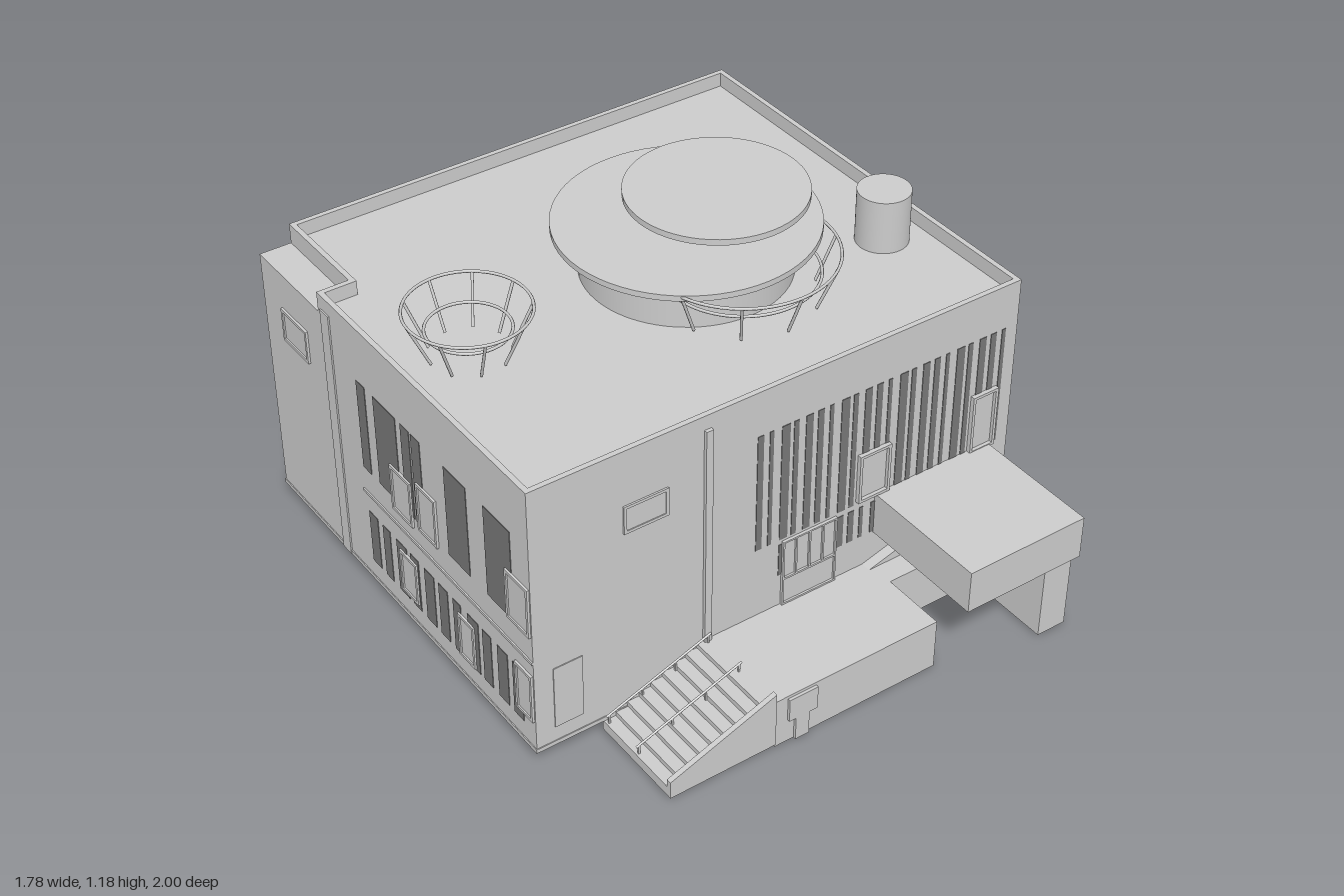
import * as THREE from 'three';

export function createModel() {
  const model = new THREE.Group();
  const grey = new THREE.MeshStandardMaterial({ color: 0xcccccc });
  const dark = new THREE.MeshStandardMaterial({ color: 0x777777 });

  const add = (name, geo, parent = model, mat = grey) => {
    const m = new THREE.Mesh(geo, mat);
    m.name = name;
    parent.add(m);
    return m;
  };
  // box given by its min and max corners
  const box = (name, x0, x1, y0, y1, z0, z1, parent = model, mat = grey) => {
    const m = add(name, new THREE.BoxGeometry(x1 - x0, y1 - y0, z1 - z0), parent, mat);
    m.position.set((x0 + x1) / 2, (y0 + y1) / 2, (z0 + z1) / 2);
    return m;
  };
  const disc = (name, x, z, r, y0, y1) => {
    const m = add(name, new THREE.CylinderGeometry(r, r, y1 - y0, 64));
    m.position.set(x, (y0 + y1) / 2, z);
  };
  const poly = (pts) => pts.map(([a, b]) => new THREE.Vector2(a, b));
  // plan outline (x, z) raised from y0 to y1
  const slab = (name, pts, y0, y1, hole) => {
    const flip = (p) => p.map(([x, z]) => [x, -z]);
    const s = new THREE.Shape(poly(flip(pts)));
    if (hole) s.holes.push(new THREE.Path(poly(flip(hole))));
    const g = new THREE.ExtrudeGeometry(s, { depth: y1 - y0, bevelEnabled: false });
    g.rotateX(-Math.PI / 2);
    add(name, g).position.y = y0;
  };
  // front elevation outline (x, y) extruded from z0 to z1
  const profile = (name, pts, z0, z1) => {
    const g = new THREE.ExtrudeGeometry(new THREE.Shape(poly(pts)), { depth: z1 - z0, bevelEnabled: false });
    add(name, g).position.z = z0;
  };

  // Main block with a lower back corner and a parapet
  const plan = (i) => [
    [-0.885 + i, 0.545 - i], [0.885 - i, 0.545 - i], [0.885 - i, -0.995 + i],
    [-0.775 + i, -0.995 + i], [-0.775 + i, -0.62 + i], [-0.885 + i, -0.62 + i],
  ];
  slab('mainBlock', plan(0), 0.05, 0.98);
  slab('parapet', plan(0), 0.98, 1.03, plan(0.018));
  box('lowCorner', -0.885, -0.775, 0.05, 0.96, -0.995, -0.62);
  box('baseBand', -0.888, 0.888, 0.05, 0.065, -0.998, 0.548);

  // Walls: local x runs along the wall, local z points outwards
  const wall = (name, x, z, angle) => {
    const g = new THREE.Group();
    g.name = name;
    g.position.set(x, 0, z);
    g.rotation.y = angle;
    model.add(g);
    return g;
  };
  const frontWall = wall('frontWall', 0, 0.545, 0);
  const backWall = wall('backWall', 0, -0.995, Math.PI);
  const sideWall = wall('sideWall', -0.885, 0, -Math.PI / 2);

  const pane = (parent, u0, u1, y0, y1) => box('glassStrip', u0, u1, y0, y1, 0, 0.002, parent, dark);
  const framed = (parent, u0, u1, y0, y1, depth = 0.008, t = 0.01) => {
    const s = new THREE.Shape(poly([[u0, y0], [u1, y0], [u1, y1], [u0, y1]]));
    s.holes.push(new THREE.Path(poly([[u0 + t, y0 + t], [u1 - t, y0 + t], [u1 - t, y1 - t], [u0 + t, y1 - t]])));
    add('windowFrame', new THREE.ExtrudeGeometry(s, { depth, bevelEnabled: false }), parent);
    box('windowPane', u0 + t, u1 - t, y0 + t, y1 - t, 0, 0.003, parent);
  };

  // Front wall: fin, windows, glass strips, entrance
  box('verticalFin', -0.29, -0.265, 0.18, 0.98, 0, 0.012, frontWall);
  framed(frontWall, -0.57, -0.415, 0.735, 0.835, 0.006);
  framed(frontWall, 0.28, 0.4, 0.45, 0.63, 0.015);
  framed(frontWall, 0.72, 0.82, 0.44, 0.66, 0.015);
  framed(frontWall, -0.82, -0.72, 0.12, 0.35, 0.003, 0.006);
  const widths = [0.022, 0.014, 0.03, 0.018, 0.026];
  for (let i = 0; i < 22; i++) {
    const x = -0.1 + i * 0.044;
    pane(frontWall, x, x + widths[i % 5], 0.44, 0.87);
    if (i > 1 && i < 12) pane(frontWall, x, x + widths[(i + 2) % 5], 0.3, 0.42);
  }
  framed(frontWall, 0, 0.205, 0.18, 0.43, 0.01, 0.006);
  box('doorRail', 0, 0.205, 0.28, 0.287, 0, 0.01, frontWall);
  for (let i = 1; i < 4; i++) box('doorMullion', i * 0.051 - 0.003, i * 0.051 + 0.003, 0.287, 0.425, 0, 0.01, frontWall);

  // Back windows
  for (const [u0, u1, y0, y1] of [
    [0.29, 0.37, 0.55, 0.75], [0.29, 0.365, 0.22, 0.39], [0.435, 0.51, 0.2, 0.37], [0.755, 0.825, 0.51, 0.72],
  ]) framed(backWall, u0, u1, y0, y1, 0.005);

  // Left-hand street wall: strips in two storeys, boxed windows, pilaster
  for (const [a, b] of [[-0.41, -0.36], [-0.31, -0.18], [-0.15, -0.1], [-0.09, -0.04], [0.095, 0.215], [0.31, 0.45]]) {
    pane(sideWall, a, b, 0.5, 0.83);
  }
  for (let i = 0; i < 11; i++) {
    const z = -0.4 + i * 0.083;
    pane(sideWall, z, z + 0.03 + widths[i % 5], 0.13, 0.33);
  }
  for (const [u0, u1, y0, y1] of [
    [-0.23, -0.11, 0.46, 0.63], [-0.075, 0.035, 0.48, 0.66], [0.42, 0.54, 0.5, 0.68],
    [-0.21, -0.11, 0.15, 0.31], [0.13, 0.22, 0.135, 0.3], [0.45, 0.54, 0.17, 0.35], [-0.87, -0.71, 0.71, 0.83],
  ]) framed(sideWall, u0, u1, y0, y1);
  box('pilaster', -0.6, -0.55, 0.05, 0.98, 0, 0.005, sideWall);
  box('storeyLedge', -0.42, 0.545, 0.4, 0.41, 0, 0.005, sideWall);

  // Roof discs and tank
  disc('roofDrum', 0.15, -0.165, 0.335, 0.98, 1.13);
  disc('lowerDisc', 0.15, -0.165, 0.417, 1.13, 1.15);
  disc('discHub', 0.295, -0.21, 0.1, 1.15, 1.162);
  disc('upperDisc', 0.295, -0.21, 0.292, 1.162, 1.183);
  disc('roofTank', 0.73, 0.07, 0.086, 0.98, 1.163);

  // Flared wire baskets: two rings and sloping struts
  const rod = (name, a, b, r, parent) =>
    add(name, new THREE.TubeGeometry(new THREE.LineCurve3(a, b), 1, r, 6), parent);
  const basket = (x, z, rTop, rLow, n, start, arc) => {
    const g = new THREE.Group();
    g.name = 'wireBasket';
    g.position.set(x, 0, z);
    model.add(g);
    for (const [r, y] of [[rTop, 1.143], [rLow, 1.076]]) {
      const t = new THREE.TorusGeometry(r, 0.005, 6, 64, arc);
      t.rotateX(Math.PI / 2);
      t.rotateY(-start);
      add('basketRing', t, g).position.y = y;
    }
    const at = (a, r, y) => new THREE.Vector3(r * Math.cos(a), y, r * Math.sin(a));
    for (let i = 0; i < n; i++) {
      const a = start + ((i + 0.5) / n) * arc;
      rod('basketStrut', at(a, rLow - 0.005, 0.99), at(a, rTop, 1.143), 0.005, g);
    }
  };
  basket(-0.64, -0.145, 0.193, 0.13, 9, 0.1, Math.PI * 2);
  basket(0.185, 0.07, 0.3, 0.243, 5, 0, Math.PI);

  // Entrance podium with a T-shaped relief
  box('podium', -0.27, 0.34, 0, 0.18, 0.54, 0.885);
  box('podiumSide', 0.34, 0.6, 0, 0.18, 0.54, 0.66);
  profile('slopedWall', [[0.32, 0.005], [0.68, 0.005], [0.68, 0.285], [0.32, 0.18]], 0.54, 0.58);
  box('reliefTop', -0.225, -0.12, 0.085, 0.17, 0.88, 0.895);
  box('reliefStem', -0.2, -0.15, 0, 0.085, 0.88, 0.895);

  // Side stair with sloping cheek and handrails
  const steps = 9, run = 0.38 / steps;
  const stair = [[-0.27, 0.012], [-0.65, 0.012]];
  for (let i = 0; i < steps; i++) {
    const y = 0.03 + (i + 1) * (0.15 / steps);
    stair.push([-0.65 + i * run, y], [-0.65 + (i + 1) * run, y]);
  }
  profile('stair', stair.reverse(), 0.54, 0.875);
  profile('stairCheek', [[-0.65, 0.012], [-0.27, 0.012], [-0.27, 0.215], [-0.65, 0.075]], 0.872, 0.89);
  for (const z of [0.56, 0.715]) {
    rod('handrail', new THREE.Vector3(-0.65, 0.075, z), new THREE.Vector3(-0.27, 0.212, z), 0.004, model);
    for (let i = 0; i < 4; i++) {
      const x = -0.64 + i * 0.12;
      box('railPost', x - 0.003, x + 0.003, 0.03, 0.075 + (x + 0.65) * 0.36, z - 0.003, z + 0.003);
    }
  }

  // Projecting entrance canopy on a side wall
  box('canopy', 0.355, 0.8, 0.295, 0.447, 0.54, 1);
  box('canopyWall', 0.69, 0.797, 0.005, 0.295, 0.54, 0.97);

  return model;
}
